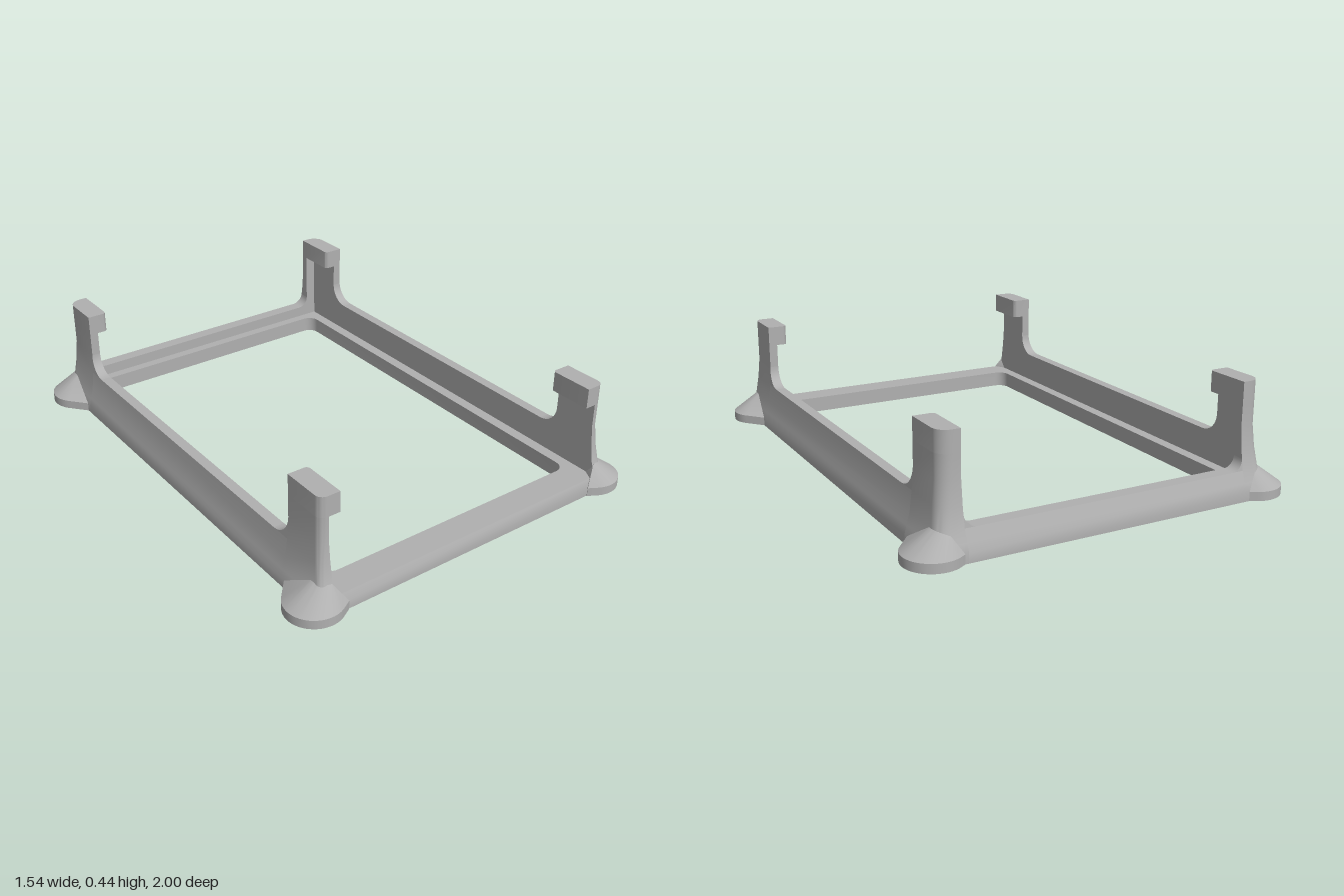
import * as THREE from 'three';
import { toCreasedNormals } from 'three/addons/utils/BufferGeometryUtils.js';
import { ConvexGeometry } from 'three/addons/geometries/ConvexGeometry.js';

const HOLE = 0.57, WALL = 0.615, SIDE = 0.65, BACK = 0.92, FRONT = 0.91;
const LEDGE = 0.065, RAIL = 0.11, SILL = 0.185, HOOK = 0.36, TOP = 0.44;

// Outward flare of the outer faces at height y
function flare(y) {
  const pts = [[0, 0.035], [0.035, 0.035], [0.065, 0.027], [0.11, 0.015], [0.185, 0.006], [0.27, 0]];
  for (let i = 1; i < pts.length; i++) {
    const [y0, a] = pts[i - 1], [y1, b] = pts[i];
    if (y <= y1) return a + (b - a) * (y - y0) / (y1 - y0);
  }
  return 0;
}
const flareZ = (y) => 1.5 * flare(y);
const v2 = (x, y) => new THREE.Vector2(x, y);

function arc(cx, cy, r, from, to, n = 8) {
  return Array.from({ length: n + 1 }, (_, i) => {
    const a = from + (to - from) * i / n;
    return v2(cx + r * Math.cos(a), cy + r * Math.sin(a));
  });
}

// Joins horizontal sections (x, z) at the given heights and caps both ends
function loft(section, heights) {
  const pos = [], index = [], n = section(0).length;
  heights.forEach((y) => section(y).forEach((p) => pos.push(p.x, y, p.y)));
  for (let k = 0; k < heights.length - 1; k++) {
    for (let i = 0; i < n; i++) {
      const j = (i + 1) % n, a = k * n + i, b = k * n + j;
      index.push(a, a + n, b + n, a, b + n, b);
    }
  }
  const last = (heights.length - 1) * n;
  THREE.ShapeUtils.triangulateShape(section(heights[0]), []).forEach(([a, b, c]) => index.push(a, b, c));
  THREE.ShapeUtils.triangulateShape(section(heights[heights.length - 1]), [])
    .forEach(([a, b, c]) => index.push(last + a, last + c, last + b));
  const g = new THREE.BufferGeometry();
  g.setAttribute('position', new THREE.Float32BufferAttribute(pos, 3));
  g.setIndex(index);
  return g;
}

// Mirrored copy with its triangles turned the right way round
function mirrored(geometry, sx, sz) {
  const g = geometry.index ? geometry.toNonIndexed() : geometry.clone();
  g.scale(sx, 1, sz);
  if (sx * sz < 0) {
    const p = g.attributes.position, a = new THREE.Vector3(), b = new THREE.Vector3();
    for (let i = 0; i < p.count; i += 3) {
      a.fromBufferAttribute(p, i + 1);
      b.fromBufferAttribute(p, i + 2);
      p.setXYZ(i + 1, b.x, b.y, b.z);
      p.setXYZ(i + 2, a.x, a.y, a.z);
    }
  }
  return g;
}

function extrude(points, depth) {
  return new THREE.ExtrudeGeometry(new THREE.Shape(points), { depth, bevelEnabled: false });
}

// Wall profile: straight inside, flared outside
function wallProfile(inner, outer, top, scale) {
  const ys = [0, 0.035, 0.065, 0.11, 0.185].filter((y) => y <= top);
  return [v2(inner, 0), ...ys.map((y) => v2(outer + scale * flare(y), y)), v2(inner, top)];
}

// Concave fillet filling the corner at (x, y), open towards -x and +y
function filletShape(x, y, r) {
  return [v2(x, y), v2(x, y + r), ...arc(x - r, y + r, r, 0, -Math.PI / 2).slice(1)];
}

export function createModel() {
  const model = new THREE.Group();
  const grey = new THREE.MeshStandardMaterial({ color: 0xb0b0b0 });
  grey.name = 'matte grey';

  function add(name, geometry, sx = 1, sz = 1) {
    const mesh = new THREE.Mesh(toCreasedNormals(mirrored(geometry, sx, sz), 0.5), grey);
    mesh.name = name;
    model.add(mesh);
  }

  // Ledge plate with a rounded opening
  const plate = new THREE.Shape([v2(-WALL, -FRONT), v2(WALL, -FRONT), v2(WALL, 0.89), v2(-WALL, 0.89)]);
  const r = 0.045, hx = HOLE - r, back = 0.85 - r, front = -0.84 + r, q = Math.PI / 2;
  plate.holes.push(new THREE.Path([
    ...arc(hx, back, r, 0, q), ...arc(-hx, back, r, q, 2 * q),
    ...arc(-hx, front, r, 2 * q, 3 * q), ...arc(hx, front, r, 3 * q, 4 * q),
  ]));
  add('ledge', new THREE.ExtrudeGeometry(plate, { depth: LEDGE, bevelEnabled: false }).rotateX(-q));

  // Back rail and open front sill
  add('backRail', extrude(wallProfile(0.89, BACK, RAIL, 1.5), 2 * HOLE).translate(0, 0, -HOLE).rotateY(q));
  add('frontSill', extrude(wallProfile(FRONT, FRONT, LEDGE, 1.5), 2 * WALL).translate(0, 0, -WALL).rotateY(-q));

  // Corner sections for posts and hooks, drawn towards +x +z
  const outerCorner = (y, oz, rad) => {
    const x = SIDE + flare(y), z = oz + flareZ(y);
    return [v2(x, 0.73), ...arc(x - rad, z - rad, rad, 0, q)];
  };
  const frontPost = (y) => [v2(WALL, 0.73), ...outerCorner(y, FRONT, 0.03), v2(WALL, FRONT + flareZ(y))];
  const backPost = (y) => [v2(WALL, 0.73), ...outerCorner(y, BACK, 0.05),
    v2(HOLE, BACK + flareZ(y)), v2(HOLE, 0.89), v2(WALL, 0.89)];
  const hook = (oz, rad) => (y) => [...arc(HOLE + 0.015, 0.745, 0.015, 2 * q, 3 * q, 4),
    ...outerCorner(y, oz, rad), v2(HOLE, oz)];
  const postHeights = [0, 0.035, 0.065, 0.11, 0.185, 0.27, HOOK];

  // Fillets between walls and posts, with outer faces following the flare
  const sideFillet = extrude(filletShape(0.73, SILL, 0.08), SIDE - WALL).rotateY(-q).translate(SIDE, 0, 0);
  const backFillet = extrude(filletShape(HOLE, RAIL, 0.045), BACK - 0.89).translate(0, 0, 0.89);
  const sp = sideFillet.attributes.position, bp = backFillet.attributes.position;
  for (let i = 0; i < sp.count; i++) if (sp.getX(i) > 0.64) sp.setX(i, SIDE + flare(sp.getY(i)));
  for (let i = 0; i < bp.count; i++) if (bp.getZ(i) > 0.91) bp.setZ(i, BACK + flareZ(bp.getY(i)));

  // Foot: a flat disc edge blended into a cone against the corner
  const footPoints = [];
  for (const y of [0, 0.035]) {
    const rim = [...arc(0.66, 0.89, 0.11, -0.7, q + 0.45, 20), v2(HOLE, 0.965), v2(0.685, 0.75)];
    rim.forEach((p) => footPoints.push(new THREE.Vector3(p.x, y, p.y)));
  }
  arc(0.62, 0.89, 0.046, -0.3, q, 10).forEach((p) => footPoints.push(new THREE.Vector3(p.x, RAIL, p.y)));
  const foot = new ConvexGeometry(footPoints);

  const sideWall = extrude(wallProfile(WALL, SIDE, SILL, 1), 1.46).translate(0, 0, -0.73);
  for (const [side, sx] of [['left', 1], ['right', -1]]) {
    add(side + 'Wall', sideWall, sx);
    add(side + 'FrontPost', loft(frontPost, postHeights), sx);
    add(side + 'BackPost', loft(backPost, postHeights), sx, -1);
    add(side + 'FrontHook', loft(hook(FRONT, 0.03), [HOOK, TOP]), sx);
    add(side + 'BackHook', loft(hook(BACK, 0.05), [HOOK, TOP]), sx, -1);
    add(side + 'BackRailFillet', backFillet, sx, -1);
    for (const [end, sz] of [['Front', 1], ['Back', -1]]) {
      add(side + end + 'Fillet', sideFillet, sx, sz);
      add(side + end + 'Foot', foot, sx, sz);
    }
  }
  return model;
}
